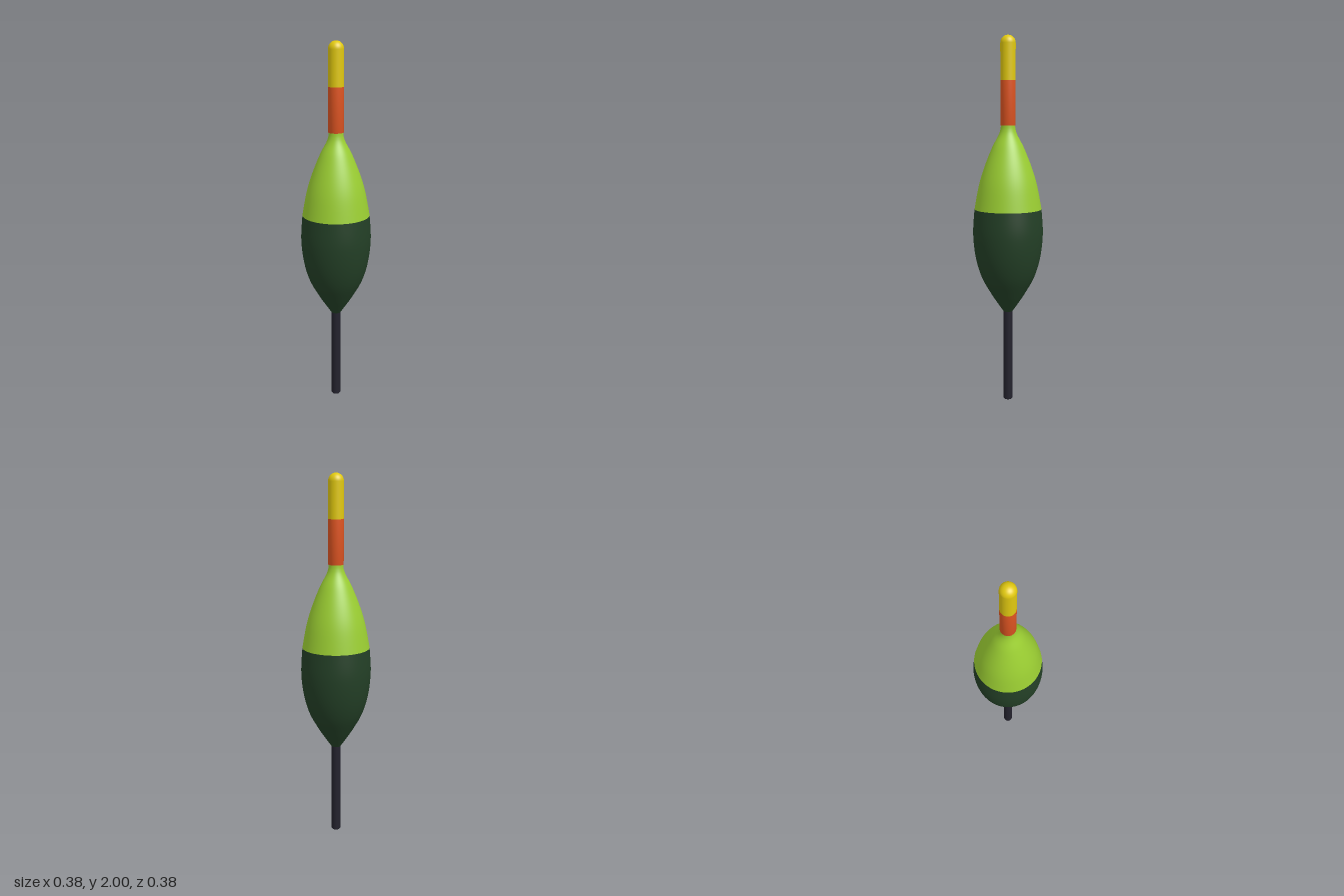
import * as THREE from 'three';

const paint = (name, color) => {
  const material = new THREE.MeshStandardMaterial({ color });
  material.name = name;
  return material;
};

export function createModel() {
  const model = new THREE.Group();
  model.name = 'fishingFloat';

  const yellow = paint('yellow', 0xe0c810);
  const orange = paint('orange', 0xe05522);
  const lime = paint('lime green', 0x9acd32);
  const darkGreen = paint('dark green', 0x233f26);
  const charcoal = paint('charcoal', 0x23222d);

  // Turn a profile of [radius, height] points, listed from bottom to top
  const turn = (name, points, material, smooth = false) => {
    let profile = points.map(([r, y]) => new THREE.Vector2(r, y));
    if (smooth) profile = new THREE.SplineCurve(profile).getPoints(32);
    const mesh = new THREE.Mesh(new THREE.LatheGeometry(profile, 64), material);
    mesh.name = name;
    model.add(mesh);
  };

  // Stem with a slightly bevelled foot
  turn('stem', [[0, 0], [0.02, 0], [0.025, 0.006], [0.025, 0.52]], charcoal);

  // Teardrop body in two colours
  turn('lowerBody', [
    [0.022, 0.5], [0.05, 0.54], [0.093, 0.605], [0.145, 0.7],
    [0.177, 0.81], [0.19, 0.94], [0.182, 1.073],
  ], darkGreen, true);
  turn('upperBody', [
    [0.182, 1.073], [0.158, 1.2], [0.128, 1.3], [0.086, 1.405],
    [0.052, 1.47], [0.041, 1.502], [0.038, 1.528],
  ], lime, true);

  // Antenna: orange band, then yellow tip with a domed end
  turn('antennaBand', [[0, 1.525], [0.041, 1.525], [0.041, 1.765]], orange);
  const dome = Array.from({ length: 13 }, (_, i) => {
    const a = (i / 12) * Math.PI / 2;
    return [0.041 * Math.cos(a), 1.959 + 0.041 * Math.sin(a)];
  });
  turn('antennaTip', [[0.041, 1.765], ...dome], yellow);

  return model;
}
